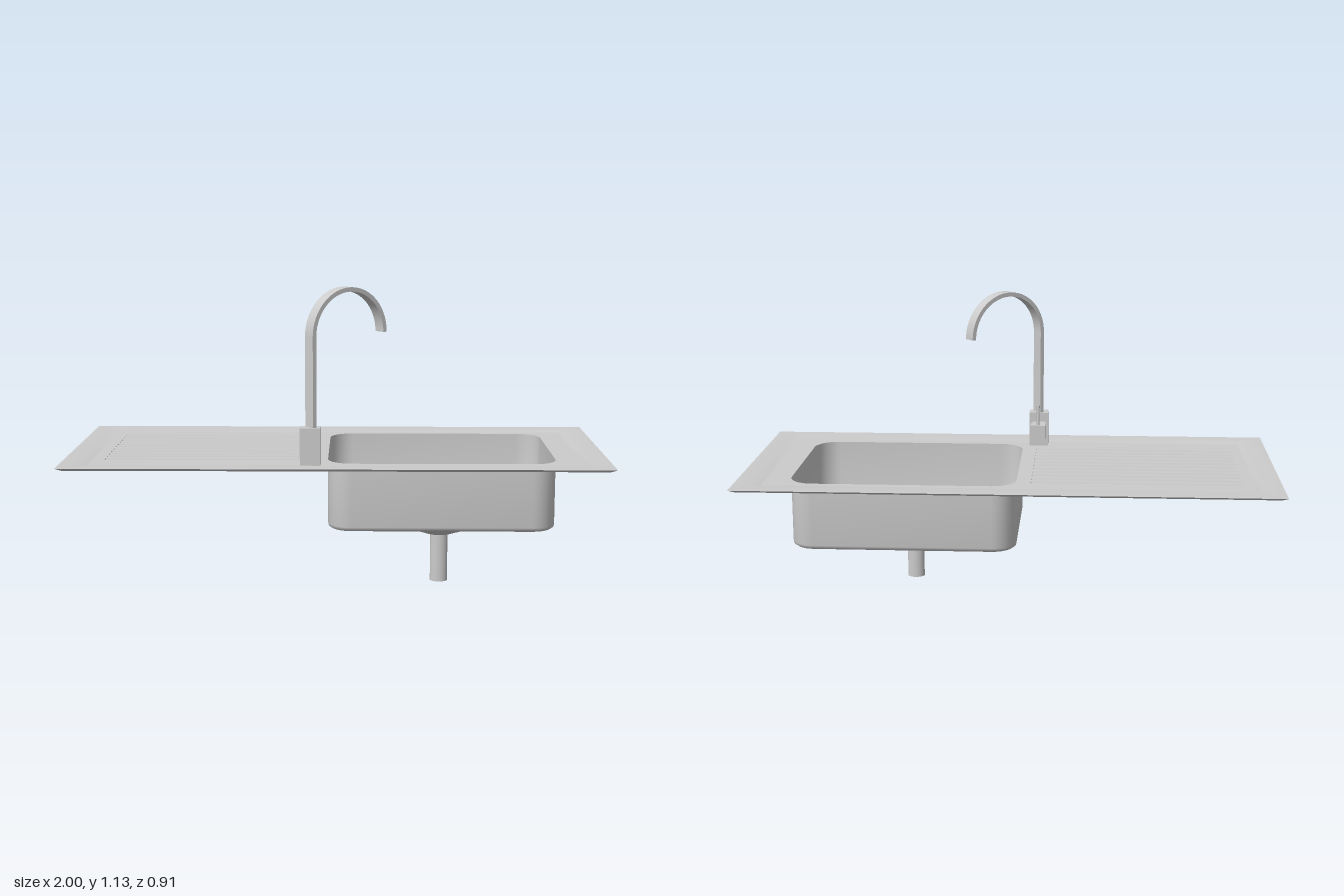
import * as THREE from 'three';
import { toCreasedNormals } from 'three/addons/utils/BufferGeometryUtils.js';

const metal = new THREE.MeshStandardMaterial({ color: 0xcccccc, side: THREE.DoubleSide });
const BOARD_Y = 0.494;
const BASIN = { x: 0.39, z: -0.004, hx: 0.42, hz: 0.32, r: 0.09 };
const DRAIN = { x: 0.39, z: 0.103 };

// Rounded rectangle as [x, z] points; r equal to both half sizes gives a circle
function roundedLoop(cx, cz, hx, hz, r, n = 8) {
  const points = [];
  for (let c = 0; c < 4; c++) {
    const sx = c === 0 || c === 3 ? 1 : -1;
    const sz = c < 2 ? 1 : -1;
    for (let i = 0; i <= n; i++) {
      const a = (c + i / n) * Math.PI / 2;
      points.push([cx + sx * (hx - r) + r * Math.cos(a), cz + sz * (hz - r) + r * Math.sin(a)]);
    }
  }
  return points;
}

// Skin a series of [loop, height] cross-sections
function loft(sections, crease) {
  const position = [], index = [];
  const n = sections[0][0].length;
  sections.forEach(([loop, y], k) => {
    loop.forEach(([x, z], i) => {
      position.push(x, y, z);
      if (k === 0) return;
      const j = (i + 1) % n, a = (k - 1) * n, b = k * n;
      index.push(a + i, a + j, b + i, a + j, b + j, b + i);
    });
  });
  const geometry = new THREE.BufferGeometry();
  geometry.setAttribute('position', new THREE.Float32BufferAttribute(position, 3));
  geometry.setIndex(index);
  geometry.computeVertexNormals();
  return crease ? toCreasedNormals(geometry, crease) : geometry;
}

function add(parent, name, geometry, x = 0, y = 0, z = 0) {
  const mesh = new THREE.Mesh(geometry, metal);
  mesh.name = name;
  mesh.position.set(x, y, z);
  parent.add(mesh);
  return mesh;
}

function box(parent, name, sx, sy, sz, x, y, z) {
  return add(parent, name, new THREE.BoxGeometry(sx, sy, sz), x, y, z);
}

function createWorktop(group) {
  // Rim: turned-down lip, flat border, gentle step to the board
  const rim = [[0.02, 0.489], [0, 0.5], [0.065, 0.5], [0.1, BOARD_Y]].map(([inset, y]) =>
    [roundedLoop(0, 0, 1 - inset, 0.456 - inset, 0.001, 1), y]);
  add(group, 'rim', loft(rim, 0.6));

  // Board with openings for the basin and the drainer grooves
  const toPoints = (loop) => loop.map(([x, z]) => new THREE.Vector2(x, z));
  const board = new THREE.Shape(toPoints(roundedLoop(0, 0, 0.9, 0.356, 0.001, 1)));
  const { x, z, hx, hz, r } = BASIN;
  board.holes.push(new THREE.Path(toPoints(roundedLoop(x, z, hx, hz, r))));

  const grooves = new THREE.Group();
  grooves.name = 'drainerGrooves';
  for (let i = 0; i < 11; i++) {
    const gz = -0.262 + i * 0.0495;
    const loop = (inset) => roundedLoop(-0.47, gz, 0.387 - inset, 0.011 - inset, 0.001, 1);
    board.holes.push(new THREE.Path(toPoints(loop(0))));
    add(grooves, 'groove', loft([[loop(0), BOARD_Y], [loop(0.003), 0.487], [loop(0.0099), 0.487]], 0.5));
  }
  const boardGeometry = new THREE.ShapeGeometry(board);
  boardGeometry.rotateX(Math.PI / 2);
  add(group, 'drainingBoard', boardGeometry, 0, BOARD_Y, 0);
  group.add(grooves);
}

function createBasin(group) {
  const { x, z, hx, hz, r } = BASIN;
  const ring = (inset) => roundedLoop(x, z, hx - inset, hz - inset, r - inset);
  add(group, 'basinWall', loft([
    [ring(0), BOARD_Y], [ring(0), 0.255], [ring(0.002), 0.246], [ring(0.012), 0.239], [ring(0.025), 0.238],
  ], 0.9));

  // Floor falling to the drain
  const circle = (rx, rz = rx) => roundedLoop(0, 0, 1, 1, 1).map(([u, v]) => [DRAIN.x + u * rx, DRAIN.z + v * rz]);
  add(group, 'basinFloor', loft([
    [ring(0.025), 0.238], [circle(0.205, 0.185), 0.236], [circle(0.12, 0.11), 0.211],
    [circle(0.05, 0.042), 0.186], [circle(0.033, 0.027), 0.183],
  ]));

  // Waste pipe
  const pipe = add(group, 'wastePipe', new THREE.CylinderGeometry(1, 1, 0.183, 24), DRAIN.x, 0.0915, DRAIN.z);
  pipe.scale.set(0.033, 1, 0.027);
}

function createTap(group) {
  const tap = new THREE.Group();
  tap.name = 'tap';
  const x = -0.092;
  box(tap, 'tapBody', 0.075, 0.137, 0.059, x, 0.5615, 0.327);
  box(tap, 'handleNeck', 0.05, 0.058, 0.035, x, 0.565, 0.283);
  box(tap, 'handleCollar', 0.035, 0.044, 0.012, x, 0.565, 0.262);
  box(tap, 'handleBlock', 0.06, 0.062, 0.046, x, 0.565, 0.237);
  add(tap, 'lever', new THREE.CylinderGeometry(0.006, 0.006, 0.08, 12), x, 0.635, 0.231);

  // Flat-section spout: upright strip running into a half-circle arch
  const R = 0.164, t = 0.008, width = 0.046, archY = 0.957;
  const profile = new THREE.Shape();
  profile.moveTo(-t, 0.62);
  profile.lineTo(-t, archY);
  profile.absarc(R, archY, R + t, Math.PI, 0, true);
  profile.lineTo(2 * R - t, archY);
  profile.absarc(R, archY, R - t, 0, Math.PI, false);
  profile.lineTo(t, 0.62);
  profile.closePath();
  const spout = new THREE.ExtrudeGeometry(profile, { depth: width, bevelEnabled: false, curveSegments: 20 });
  spout.translate(0, 0, -width / 2);
  add(tap, 'spout', toCreasedNormals(spout, 0.5), -0.09, 0, 0.324).rotation.y = Math.atan2(0.206, 0.255);
  group.add(tap);
}

export function createModel() {
  const group = new THREE.Group();
  group.name = 'kitchenSink';
  createWorktop(group);
  createBasin(group);
  createTap(group);
  return group;
}
